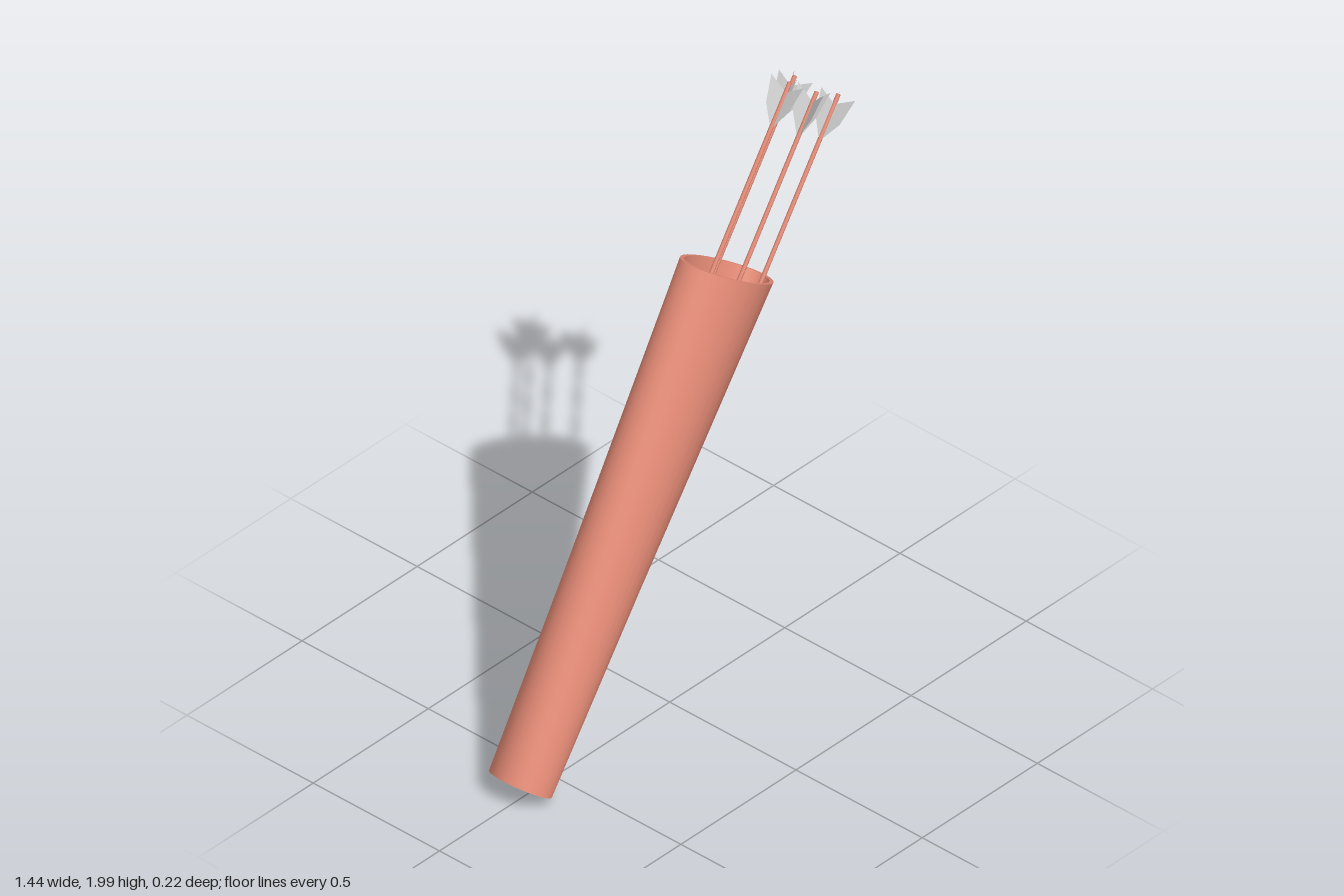
import * as THREE from 'three';
import { toCreasedNormals } from 'three/addons/utils/BufferGeometryUtils.js';

const LENGTH = 1.646;
const DEG = Math.PI / 180;

export function createModel() {
  const model = new THREE.Group();
  const red = new THREE.MeshStandardMaterial({ color: 0xe58b76 });
  const grey = new THREE.MeshStandardMaterial({ color: 0xcccccc, side: THREE.DoubleSide });

  // Everything leans along the quiver's axis
  const leaning = new THREE.Group();
  leaning.name = 'quiverWithArrows';
  leaning.position.set(-0.643, 0.053, -0.005);
  leaning.rotation.z = -33 * DEG;
  model.add(leaning);

  // Quiver: unit-radius profile with a shallow recess, stretched to a tapering oval
  const profile = [[0, 0], [1, 0], [1, LENGTH], [0.91, LENGTH], [0.91, LENGTH - 0.075], [0, LENGTH - 0.075]]
    .map(([r, y]) => new THREE.Vector2(r, y));
  const body = new THREE.LatheGeometry(profile, 32);
  const pos = body.attributes.position;
  for (let i = 0; i < pos.count; i++) {
    const halfWidth = THREE.MathUtils.lerp(0.087, 0.2, pos.getY(i) / LENGTH);
    pos.setX(i, pos.getX(i) * halfWidth);
    pos.setZ(i, pos.getZ(i) * 0.106);
  }
  const quiver = new THREE.Mesh(toCreasedNormals(body, 40 * DEG), red);
  quiver.name = 'quiver';
  leaning.add(quiver);

  // Arrow parts, measured from the quiver's lip
  const shaftGeometry = new THREE.CylinderGeometry(0.007, 0.007, 0.68, 8).translate(0, 0.255, 0);
  const vaneShape = new THREE.Shape([[0.004, 0.45], [0.044, 0.515], [0.062, 0.6], [0.004, 0.565]]
    .map(([x, y]) => new THREE.Vector2(x, y)));
  const vaneGeometry = new THREE.ShapeGeometry(vaneShape);

  // Arrows: sideways and depth offset at the lip, turn of the first vane
  const arrows = [
    [-0.072, 0.002, 222],
    [-0.009, 0.06, 125],
    [0.045, -0.068, 80],
    [0.11, 0.055, 88],
  ];
  for (const [x, z, turn] of arrows) {
    const arrow = new THREE.Group();
    arrow.name = 'arrow';
    arrow.position.set(x, LENGTH, z);
    arrow.rotation.z = -1 * DEG;
    const shaft = new THREE.Mesh(shaftGeometry, red);
    shaft.name = 'arrowShaft';
    arrow.add(shaft);
    for (let k = 0; k < 3; k++) {
      const vane = new THREE.Mesh(vaneGeometry, grey);
      vane.name = 'fletching';
      vane.rotation.y = -(turn + k * 120) * DEG;
      arrow.add(vane);
    }
    leaning.add(arrow);
  }
  return model;
}
